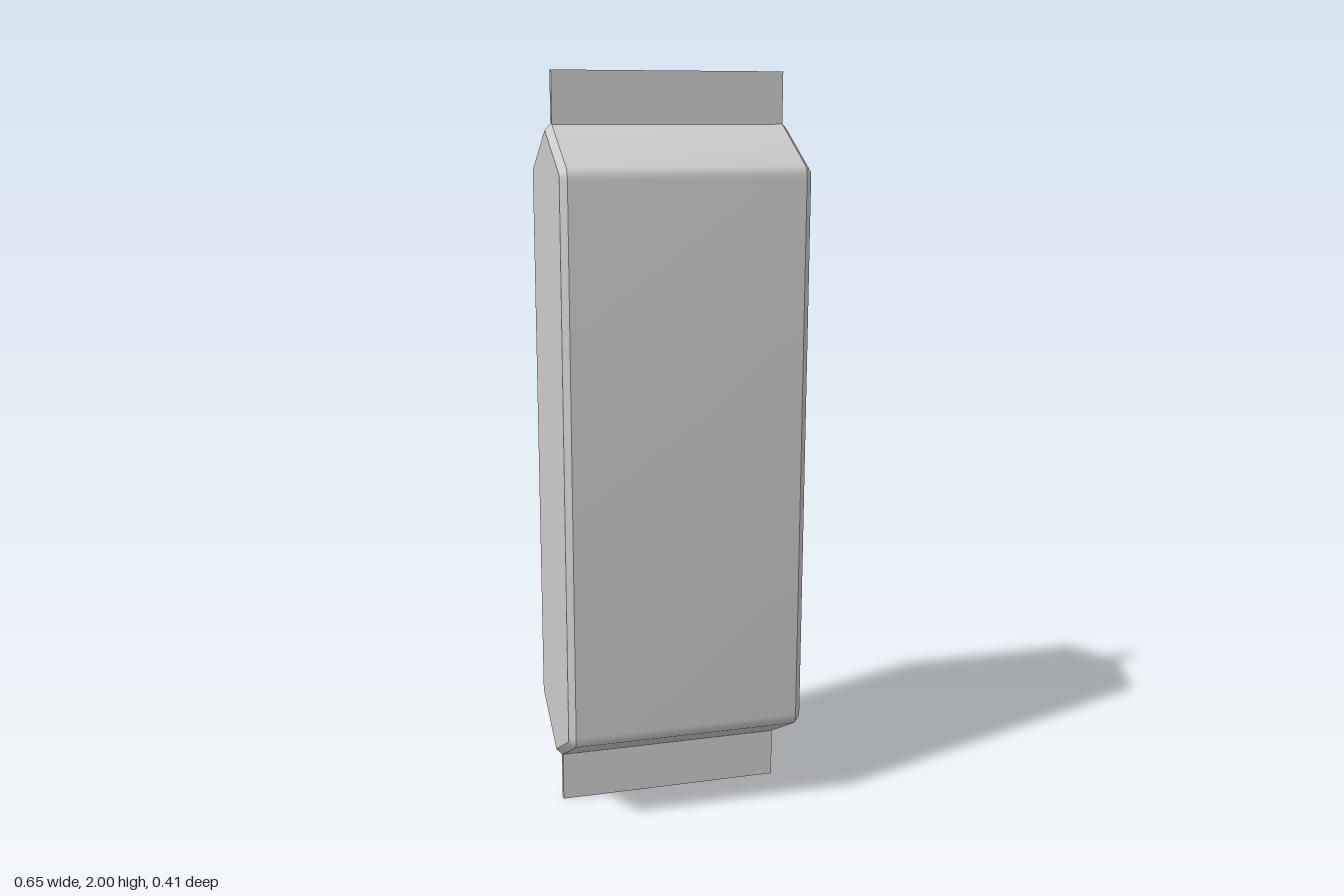
import * as THREE from 'three';
import { toCreasedNormals } from 'three/addons/utils/BufferGeometryUtils.js';

const HALF_WIDTH = 0.327, BEVEL = 0.017, MID = 1;

export function createModel() {
  const group = new THREE.Group();
  const material = new THREE.MeshStandardMaterial({ color: 0xcccccc });

  // One quarter of the side profile (z, height above the middle), ridge to wall
  const quarter = [[0.193, 0.762], [0.2, 0.754], [0.204, 0.743], [0.205, 0.73]];
  const mirrored = (sz, sy) => quarter.map(([z, y]) => new THREE.Vector2(sz * z, MID + sy * y));
  const outline = [
    new THREE.Vector2(0, MID + 0.87),
    ...mirrored(-1, 1),
    ...mirrored(-1, -1).reverse(),
    new THREE.Vector2(0, MID - 0.87),
    ...mirrored(1, -1),
    ...mirrored(1, 1).reverse(),
  ];

  // Gusseted pack body: profile extruded across the width, chamfered at both sides
  const depth = 2 * (HALF_WIDTH - BEVEL);
  const bodyGeometry = new THREE.ExtrudeGeometry(new THREE.Shape(outline), {
    depth, bevelEnabled: true, bevelSegments: 1,
    bevelThickness: BEVEL, bevelSize: BEVEL, bevelOffset: -BEVEL,
  });
  bodyGeometry.translate(0, 0, -depth / 2);
  bodyGeometry.rotateY(-Math.PI / 2);
  const body = new THREE.Mesh(toCreasedNormals(bodyGeometry, 0.45), material);
  body.name = 'packBody';
  group.add(body);

  // Flat sealed strips along the top and bottom ridges
  for (const [name, y] of [['topSeal', 1.93], ['bottomSeal', 0.07]]) {
    const seal = new THREE.Mesh(new THREE.BoxGeometry(depth, 0.14, 0.019), material);
    seal.name = name;
    seal.position.y = y;
    group.add(seal);
  }
  return group;
}
